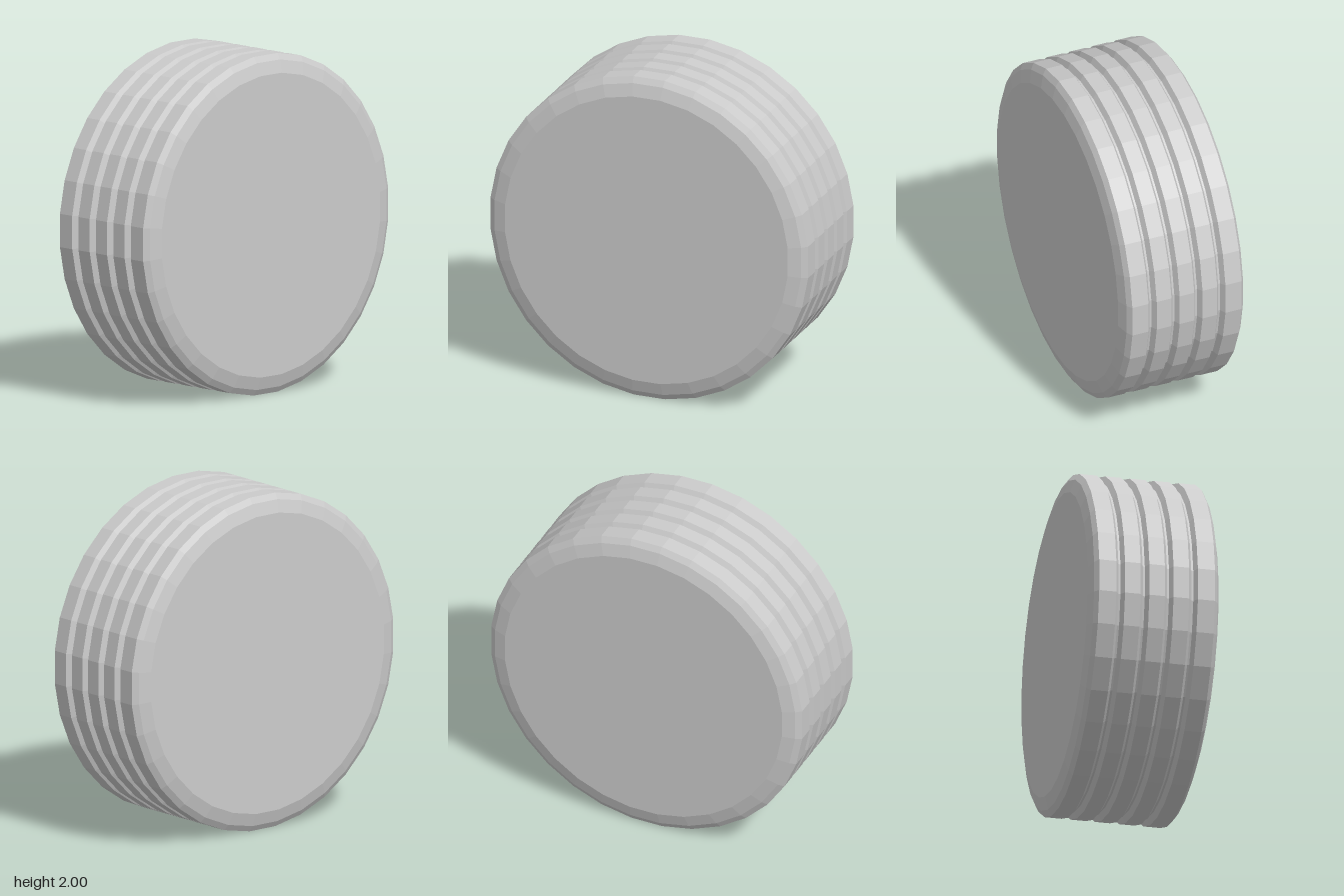
import * as THREE from 'three';

export function createModel() {
  const group = new THREE.Group();
  group.name = 'ribbedWheel';
  const sides = 32;
  const toCorner = 1 / Math.cos(Math.PI / sides); // flats sit at the given radius

  // Half profile as [x, radius], from the right end towards the left
  const profile = [[-0.39, 0], [-0.39, 0.89], [-0.368, 0.965], [-0.345, 1]];

  // Four V grooves with narrow floors between the five ribs
  for (const c of [-0.217, -0.072, 0.072, 0.217]) {
    profile.push([c - 0.026, 1], [c - 0.006, 0.966], [c + 0.006, 0.966], [c + 0.026, 1]);
  }

  // Mirrored rounded shoulder and end face
  profile.push([0.345, 1], [0.368, 0.965], [0.39, 0.89], [0.39, 0]);

  const points = profile.map(([x, r]) => new THREE.Vector2(r * toCorner, x));
  const geometry = new THREE.LatheGeometry(points, sides, Math.PI / sides);
  geometry.rotateZ(-Math.PI / 2); // lay the axle along x

  const wheel = new THREE.Mesh(
    geometry,
    new THREE.MeshStandardMaterial({ color: 0xcccccc, flatShading: true })
  );
  wheel.name = 'wheel';
  wheel.position.y = 1;
  group.add(wheel);
  return group;
}
